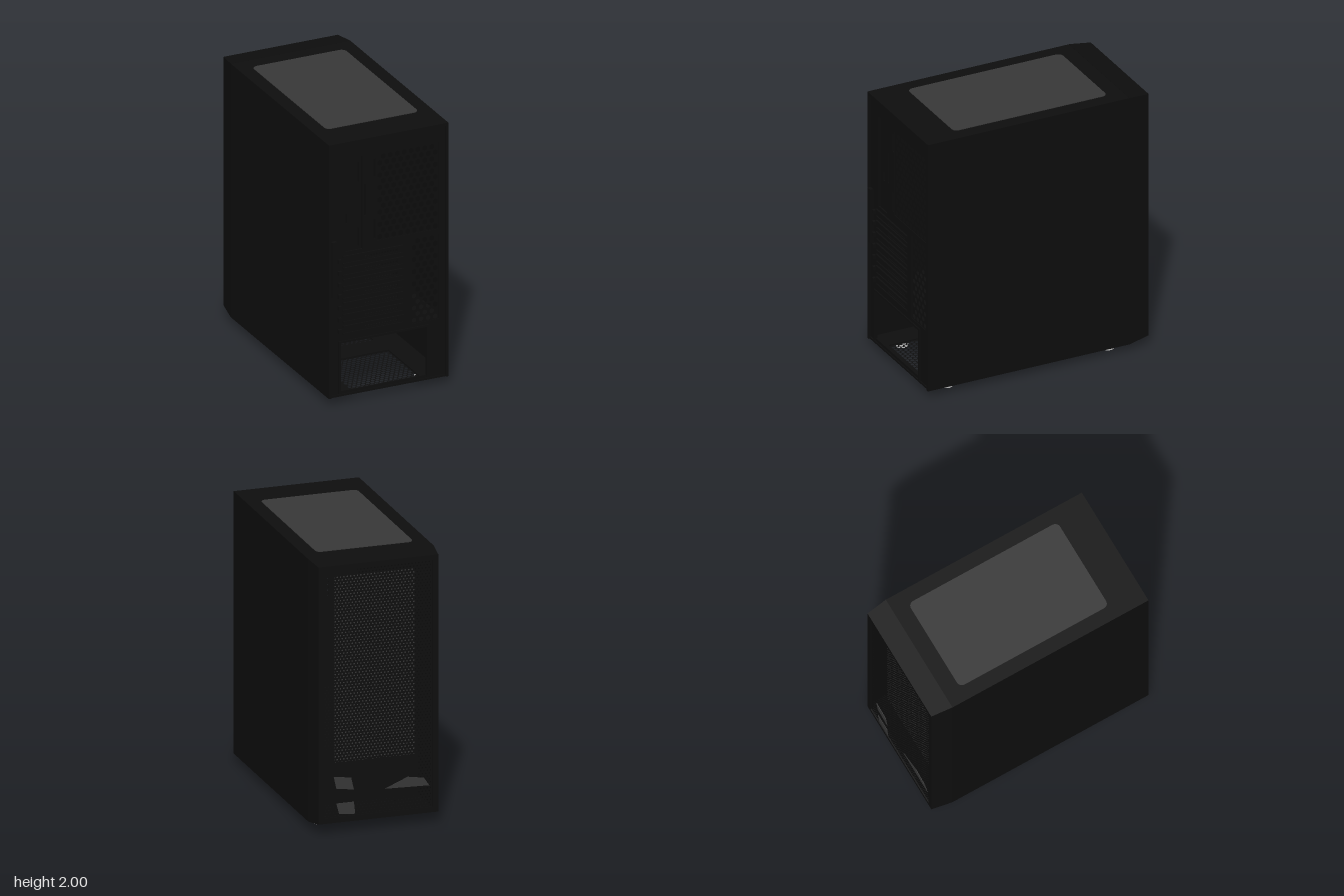
import * as THREE from 'three';
import { mergeGeometries } from 'three/addons/utils/BufferGeometryUtils.js';

const mat = (name, color) => {
  const m = new THREE.MeshStandardMaterial({ color, side: THREE.DoubleSide });
  m.name = name;
  return m;
};

// rectangle outline from its bounds
function outline(x0, x1, y0, y1, Type = THREE.Path) {
  const p = new Type();
  p.moveTo(x0, y0); p.lineTo(x1, y0); p.lineTo(x1, y1); p.lineTo(x0, y1);
  p.closePath();
  return p;
}

function roundedRect(w, h, r) {
  const s = new THREE.Shape(), a = w / 2, b = h / 2;
  s.absarc(a - r, b - r, r, 0, Math.PI / 2);
  s.absarc(-a + r, b - r, r, Math.PI / 2, Math.PI);
  s.absarc(-a + r, -b + r, r, Math.PI, Math.PI * 1.5);
  s.absarc(a - r, -b + r, r, Math.PI * 1.5, Math.PI * 2);
  s.closePath();
  return s;
}

// flat sheet plate with rectangular cut-outs
function plate(bounds, holes, depth) {
  const s = outline(...bounds, THREE.Shape);
  holes.forEach(h => s.holes.push(outline(...h)));
  return new THREE.ExtrudeGeometry(s, { depth, bevelEnabled: false });
}

// staggered grid of hexagonal holes filling the given bounds
function perforated([x0, x1, y0, y1], pitch, radius) {
  const cols = Math.max(2, Math.round((x1 - x0) / pitch));
  const rows = Math.max(1, Math.round((y1 - y0) / (pitch * 0.87)));
  const cw = (x1 - x0) / cols, ch = (y1 - y0) / rows;
  const s = outline(-cw / 2, cw / 2, -ch / 2, ch / 2, THREE.Shape);
  const hole = new THREE.Path();
  for (let i = 0; i < 6; i++) {
    const a = -i * Math.PI / 3 + Math.PI / 6;
    hole[i ? 'lineTo' : 'moveTo'](radius * Math.cos(a), radius * Math.sin(a));
  }
  hole.closePath();
  s.holes.push(hole);
  const cell = new THREE.ShapeGeometry(s), half = new THREE.PlaneGeometry(cw / 2, ch);
  const parts = [];
  for (let r = 0; r < rows; r++) {
    const y = y0 + (r + 0.5) * ch, odd = r % 2;
    for (let c = 0; c < cols - odd; c++) {
      parts.push(cell.clone().translate(x0 + (c + 0.5 + odd * 0.5) * cw, y, 0));
    }
    if (odd) {
      parts.push(half.clone().translate(x0 + cw / 4, y, 0));
      parts.push(half.clone().translate(x1 - cw / 4, y, 0));
    }
  }
  return mergeGeometries(parts);
}

// rectangular rings [x half width, y low, y high, z] joined in sequence
function ringLoft(rings) {
  const pos = [];
  const corners = ([w, a, b, z]) => [[-w, a, z], [w, a, z], [w, b, z], [-w, b, z]];
  for (let i = 0; i + 1 < rings.length; i++) {
    const p = corners(rings[i]), q = corners(rings[i + 1]);
    for (let k = 0; k < 4; k++) {
      const n = (k + 1) % 4;
      pos.push(...p[k], ...q[k], ...q[n], ...p[k], ...q[n], ...p[n]);
    }
  }
  const g = new THREE.BufferGeometry();
  g.setAttribute('position', new THREE.Float32BufferAttribute(pos, 3));
  g.computeVertexNormals();
  return g;
}

export function createModel() {
  const model = new THREE.Group();
  const black = mat('black steel', 0x0d0d0d);
  const grey = mat('grey filter', 0x373737);
  const silver = mat('silver feet', 0xc8c8c8);
  const add = (name, geo, m, x = 0, y = 0, z = 0) => {
    const mesh = new THREE.Mesh(geo, m);
    mesh.name = name;
    mesh.position.set(x, y, z);
    model.add(mesh);
    return mesh;
  };
  const box = (name, x0, x1, y0, y1, z0, z1, m = black) =>
    add(name, new THREE.BoxGeometry(x1 - x0, y1 - y0, z1 - z0), m,
      (x0 + x1) / 2, (y0 + y1) / 2, (z0 + z1) / 2);

  // outer panels
  box('leftSidePanel', 0.445, 0.465, 0.055, 1.995, -0.72, 0.87);
  box('rightSidePanel', -0.465, -0.445, 0.055, 1.995, -0.72, 0.87);
  box('topPanel', -0.465, 0.465, 1.975, 1.996, -0.72, 0.87);
  const filter = new THREE.ExtrudeGeometry(roundedRect(0.72, 1.21, 0.04),
    { depth: 0.004, bevelEnabled: false, curveSegments: 6 }).rotateX(-Math.PI / 2);
  add('topFilter', filter, grey, 0, 1.996, 0.005);

  // floor with two vents
  const floorVents = [[-0.27, 0.27, 0.3, 0.8], [-0.25, 0.25, -0.55, 0.1]];
  add('floor', plate([-0.445, 0.445, -0.72, 0.86], floorVents, 0.015).rotateX(Math.PI / 2),
    black, 0, 0.07, 0);
  floorVents.forEach((v, i) => add('floorVent',
    perforated(v, 0.036, i ? 0.009 : 0.0155).rotateX(Math.PI / 2), black, 0, 0.062, 0));

  // connector panel with its cut-outs
  const fanVent = [-0.085, 0.4, 1.19, 1.85];
  const sideVent = [0.18, 0.4, 0.5, 1.15];
  const ioOpening = [-0.33, -0.195, 1.15, 1.86];
  const supplyOpening = [-0.37, 0.3, 0.09, 0.46];
  const slots = Array.from({ length: 7 }, (_, i) => {
    const y = 0.555 + i * 0.089;
    return [-0.18, 0.08, y - 0.014, y + 0.014];
  });
  const slits = [[-0.185, -0.168, 1.4, 1.64], [-0.112, -0.094, 1.68, 1.82],
    [-0.112, -0.094, 1.21, 1.36]];
  add('connectorPanel', plate([-0.445, 0.445, 0.07, 1.975],
    [fanVent, sideVent, ioOpening, supplyOpening, ...slots, ...slits], 0.012), black, 0, 0, 0.84);
  add('fanVent', perforated(fanVent, 0.053, 0.02), black, 0, 0, 0.846);
  add('sideVent', perforated(sideVent, 0.053, 0.02), black, 0, 0, 0.846);
  add('ioBacking', plate([-0.36, -0.19, 1.12, 1.9], [[-0.218, -0.208, 1.65, 1.8],
    [-0.218, -0.208, 1.16, 1.3], [-0.32, -0.3, 1.35, 1.42]], 0.006), black, 0, 0, 0.81);

  // expansion slot covers
  for (const s of slots) {
    add('slotVent', perforated(s, 0.022, 0.006), black, 0, 0, 0.846);
    box('slotRibUpper', -0.35, 0.12, s[3] + 0.008, s[3] + 0.02, 0.85, 0.866);
    box('slotRibLower', -0.35, 0.12, s[2] - 0.02, s[2] - 0.008, 0.85, 0.862);
    box('slotScrew', -0.39, -0.365, s[2], s[3], 0.85, 0.874);
  }
  box('panelLatch', -0.445, -0.405, 0.83, 1.25, 0.85, 0.88);
  for (const x of [-0.385, 0.3]) box('supplyFrameSide', x, x + 0.015, 0.075, 0.475, 0.85, 0.862);
  box('supplyFrameTop', -0.385, 0.315, 0.46, 0.475, 0.85, 0.862);

  // power supply compartment
  box('compartmentTop', -0.445, 0.445, 0.48, 0.495, -0.45, 0.84);
  box('compartmentEnd', -0.445, 0.445, 0.07, 0.48, -0.46, -0.445);

  // intake bezel, perforated sheet and filter behind it
  add('intakeBezel', ringLoft([[0.445, 0.075, 1.97, -0.72], [0.465, 0.055, 1.997, -0.72],
    [0.445, 0.08, 1.982, -0.88], [0.405, 0.12, 1.945, -0.88], [0.405, 0.12, 1.945, -0.85]]), black);
  add('intakeMesh', perforated([-0.405, 0.405, 0.12, 1.945], 0.025, 0.006), black, 0, 0, -0.872);
  box('intakeFilter', -0.3, 0.3, 0.5, 1.88, -0.805, -0.8, grey);

  // grey plates low on the intake
  const greyPlate = (name, pts) => add(name, new THREE.ExtrudeGeometry(
    new THREE.Shape(pts.map(p => new THREE.Vector2(...p))),
    { depth: 0.003, bevelEnabled: false }), grey, 0, 0, -0.876);
  greyPlate('upperIntakePlate', [[0.18, 0.31], [0.31, 0.33], [0.33, 0.42], [0.2, 0.4]]);
  greyPlate('lowerIntakePlate', [[0.17, 0.13], [0.29, 0.14], [0.31, 0.22], [0.18, 0.22]]);
  greyPlate('sideIntakePlate', [[-0.38, 0.28], [-0.05, 0.29], [-0.22, 0.36], [-0.34, 0.34]]);

  // feet
  const foot = new THREE.CylinderGeometry(0.052, 0.043, 0.056, 24);
  for (const x of [-0.345, 0.345]) for (const z of [0.66, -0.61]) add('foot', foot, silver, x, 0.028, z);

  return model;
}
